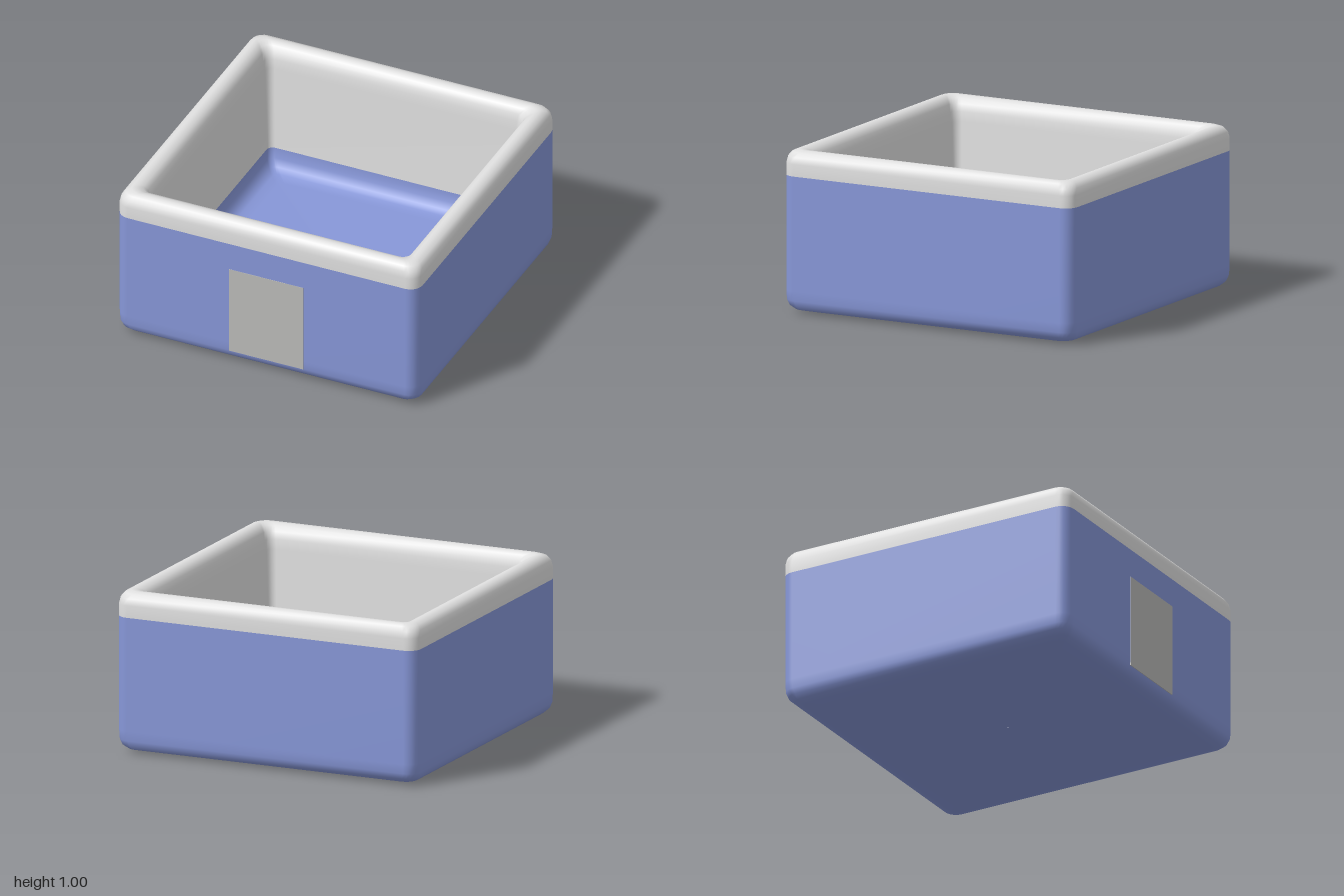
import * as THREE from 'three';

const CORNER_STEPS = 5;

// one rounded-square loop: half width h, height y, corner radius r
function ring(h, y, r) {
  const pts = [];
  for (let q = 0; q < 4; q++) {
    const cx = [1, -1, -1, 1][q] * (h - r);
    const cz = [1, 1, -1, -1][q] * (h - r);
    for (let i = 0; i <= CORNER_STEPS; i++) {
      const a = (q + i / CORNER_STEPS) * Math.PI / 2;
      pts.push(cx + r * Math.cos(a), y, cz + r * Math.sin(a));
    }
  }
  return pts;
}

// skin the loops; each loop's last entry picks the material of the band above it
function skin(profile) {
  const n = 4 * (CORNER_STEPS + 1);
  const pos = profile.flatMap(([h, y, r]) => ring(h, y, r));
  const index = [];
  const geo = new THREE.BufferGeometry();
  for (let k = 0; k < profile.length - 1; k++) {
    geo.addGroup(index.length, n * 6, profile[k][3]);
    for (let i = 0; i < n; i++) {
      const a = k * n + i, b = k * n + (i + 1) % n;
      index.push(a, a + n, b, b, a + n, b + n);
    }
  }
  geo.setAttribute('position', new THREE.Float32BufferAttribute(pos, 3));
  geo.setIndex(index);
  geo.computeVertexNormals();
  return geo;
}

export function createModel() {
  const blue = new THREE.MeshStandardMaterial({ color: 0x8797d8 });
  blue.name = 'blue';
  const paleGrey = new THREE.MeshStandardMaterial({ color: 0xdfdfdf });
  paleGrey.name = 'paleGrey';
  const doorGrey = new THREE.MeshStandardMaterial({ color: 0xbbbbb9 });
  doorGrey.name = 'doorGrey';

  const group = new THREE.Group();
  const add = (name, geo, mat) => {
    const mesh = new THREE.Mesh(geo, mat);
    mesh.name = name;
    group.add(mesh);
    return mesh;
  };

  // open box: underside, outer wall, rim, inner wall and floor
  const B = 0, G = 1;
  add('openBox', skin([
    [0.002, 0, 0.001, B],
    [0.80, 0.002, 0.05, B],
    [0.91, 0.008, 0.06, B],
    [0.955, 0.02, 0.07, B],
    [0.983, 0.045, 0.08, B],
    [0.995, 0.08, 0.08, B],
    [0.998, 0.14, 0.08, B],
    [0.998, 0.845, 0.08, G],
    [0.998, 0.92, 0.08, G],
    [0.99, 0.96, 0.08, G],
    [0.97, 0.987, 0.075, G],
    [0.94, 0.999, 0.07, G],
    [0.915, 0.998, 0.06, G],
    [0.885, 0.985, 0.06, G],
    [0.863, 0.955, 0.055, G],
    [0.852, 0.91, 0.05, G],
    [0.847, 0.85, 0.05, G],
    [0.82, 0.30, 0.04, B],
    [0.81, 0.235, 0.04, B],
    [0.785, 0.19, 0.04, B],
    [0.75, 0.168, 0.04, B],
    [0.68, 0.16, 0.04, B],
    [0.002, 0.16, 0.001, B],
  ]), [blue, paleGrey]);

  // door panel on the front
  add('doorPanel', new THREE.BoxGeometry(0.49, 0.585, 0.006), doorGrey)
    .position.set(0, 0.3725, 0.997);

  // small patch low on the inside of the front wall
  const patch = add('innerDoorPatch', new THREE.BoxGeometry(0.36, 0.07, 0.006), doorGrey);
  patch.position.set(-0.07, 0.267, 0.813);
  patch.rotation.x = 0.15;

  return group;
}
